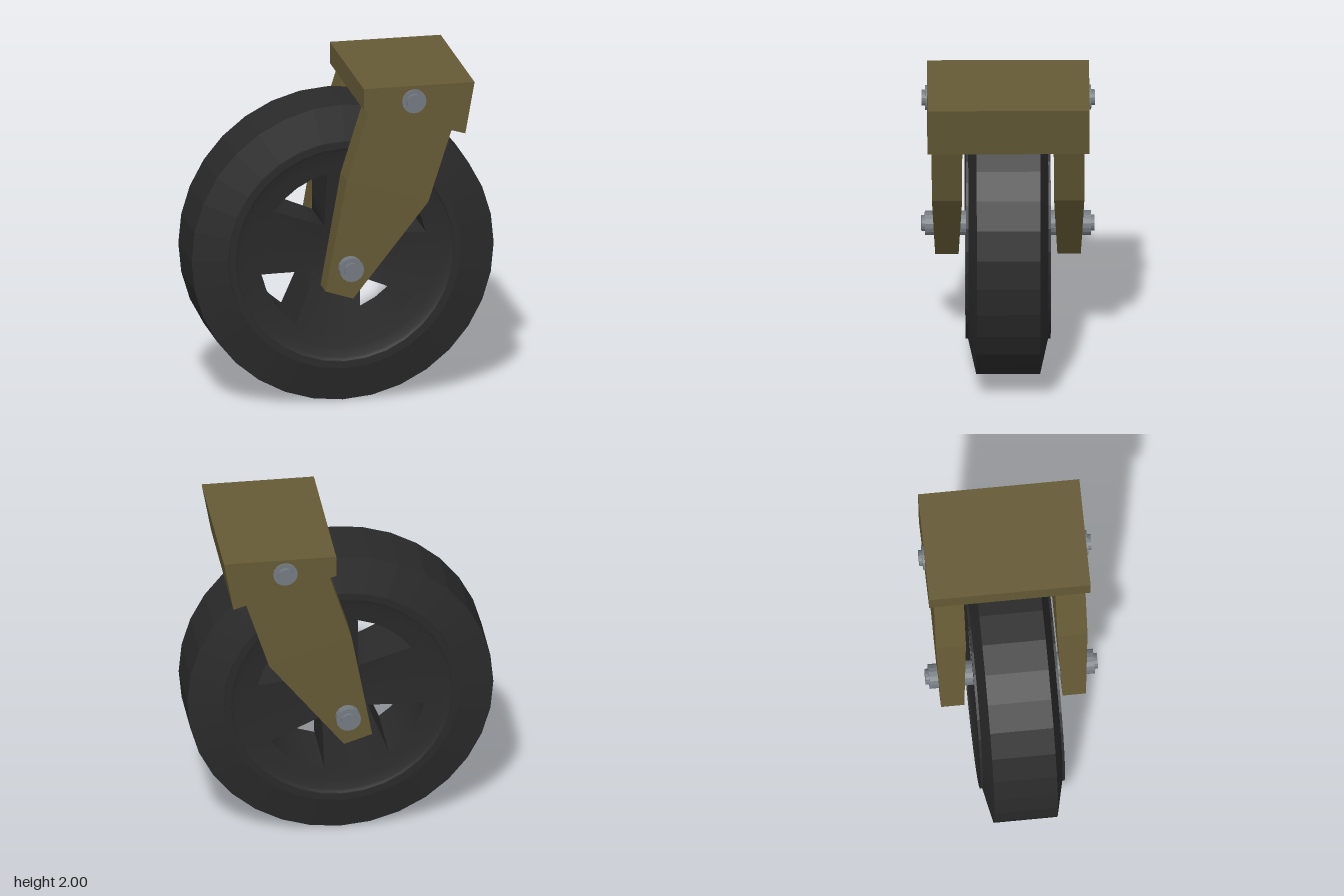
import * as THREE from 'three';

const rubber = new THREE.MeshStandardMaterial({ color: 0x2a2a2a, flatShading: true });
const smoothRubber = new THREE.MeshStandardMaterial({ color: 0x2a2a2a });
const paint = new THREE.MeshStandardMaterial({ color: 0x655a35, flatShading: true });
const steel = new THREE.MeshStandardMaterial({ color: 0x737a80, flatShading: true });

const WHEEL_Y = 0.911;
const HOLE_R = 0.505;

// Half thickness of the wheel centre: a shallow bowl, thinnest at the hub
const bowl = (r) => 0.15 + 0.13 * r;

function part(name, geometry, material, x = 0, y = 0, z = 0) {
  const mesh = new THREE.Mesh(geometry, material);
  mesh.name = name;
  mesh.position.set(x, y, z);
  return mesh;
}

// Surface turned around the z axis from [radius, z] points
function turned(points, sides = 32) {
  return new THREE.LatheGeometry(points.map(([r, z]) => new THREE.Vector2(r, z)), sides).rotateX(Math.PI / 2);
}

// Half profile mirrored to the back
function ring(half) {
  return turned([...half.map(([r, z]) => [r, -z]), ...half.slice().reverse()]);
}

function rod(radius, length) {
  return new THREE.CylinderGeometry(radius, radius, length, 16).rotateX(Math.PI / 2);
}

// Quarter of the square hub with its widening spoke, along +x
function spoke() {
  const along = [0, 0.07, 0.139, 0.25, 0.36, HOLE_R];
  const halfWidth = [0, 0.07, 0.139, 0.158, 0.177, 0.196];
  const last = along.length - 1;
  const geometry = new THREE.BoxGeometry(last, 2, 2, last, 6, 1);
  const p = geometry.attributes.position;
  for (let i = 0; i < p.count; i++) {
    const k = Math.round(p.getX(i) + last / 2);
    const y = p.getY(i) * halfWidth[k];
    const x = k === last ? Math.sqrt(HOLE_R * HOLE_R - y * y) : along[k];
    p.setXYZ(i, x, y, p.getZ(i) * bowl(Math.hypot(x, y)));
  }
  geometry.computeVertexNormals();
  return geometry;
}

// Fork arm lofted through three levels: [right x, y], [left x, y], z range
function forkArm() {
  const levels = [
    [[-0.155, 0.75], [0.012, 0.695], 0.29, 0.428],
    [[-0.03, 1.43], [0.46, 1.27], 0.272, 0.45],
    [[0.12, 1.91], [0.615, 1.75], 0.272, 0.45],
  ];
  const geometry = new THREE.BoxGeometry(2, 2, 2, 1, 2, 1);
  const p = geometry.attributes.position;
  for (let i = 0; i < p.count; i++) {
    const [a, b, near, far] = levels[Math.round(p.getY(i)) + 1];
    const [x, y] = p.getX(i) < 0 ? a : b;
    p.setXYZ(i, x, y, p.getZ(i) < 0 ? near : far);
  }
  geometry.computeVertexNormals();
  return geometry;
}

export function createModel() {
  const model = new THREE.Group();
  model.name = 'casterWheel';

  // Tyre and rim lip
  const wheel = new THREE.Group();
  wheel.name = 'wheel';
  wheel.position.y = WHEEL_Y;
  wheel.add(part('tyre', ring([[0.69, 0.238], [0.91, 0.188]]), rubber));
  wheel.add(part('rimLip', ring([[0.655, 0.242], [0.658, 0.25], [0.70, 0.25]]), rubber));

  // Rim faces and the inner wall around the openings
  const face = [[0.656, 0.244], [0.635, 0.235], [0.58, bowl(0.58)], [HOLE_R, bowl(HOLE_R)]];
  for (const side of [1, -1]) {
    const rimFace = part(side > 0 ? 'frontRimFace' : 'backRimFace', turned(face), smoothRubber);
    rimFace.rotation.y = side > 0 ? 0 : Math.PI;
    wheel.add(rimFace);
  }
  const wall = [[HOLE_R, bowl(HOLE_R)], [HOLE_R, -bowl(HOLE_R)]];
  wheel.add(part('rimInnerWall', turned(wall), smoothRubber));

  // Four spokes meeting at the hub
  for (let k = 0; k < 4; k++) {
    const mesh = part('spoke', spoke(), smoothRubber);
    mesh.rotation.z = THREE.MathUtils.degToRad(78.5 + 90 * k);
    wheel.add(mesh);
  }
  model.add(wheel);

  // Axle and top pivot, each a rod with a smaller stud at both ends
  const pins = [['axle', -0.008, 0.89], ['topPivot', 0.368, 1.907]];
  for (const [name, x, y] of pins) {
    model.add(part(name, rod(0.073, 0.978), steel, x, y));
    model.add(part(name + 'Stud', rod(0.047, 1.02), steel, x, y));
  }

  // Fork arms on both sides of the wheel
  model.add(part('frontForkArm', forkArm(), paint));
  model.add(part('backForkArm', forkArm().translate(0, 0, -0.72), paint));

  // Mounting block with a slanted underside
  const corners = [[0.065, 1.87], [0.677, 1.687], [0.733, 2], [0.065, 2]];
  const block = new THREE.Shape(corners.map(([x, y]) => new THREE.Vector2(x, y)));
  const blockGeometry = new THREE.ExtrudeGeometry(block, { depth: 0.956, bevelEnabled: false });
  model.add(part('mountingBlock', blockGeometry, paint, 0, 0, -0.478));

  return model;
}
